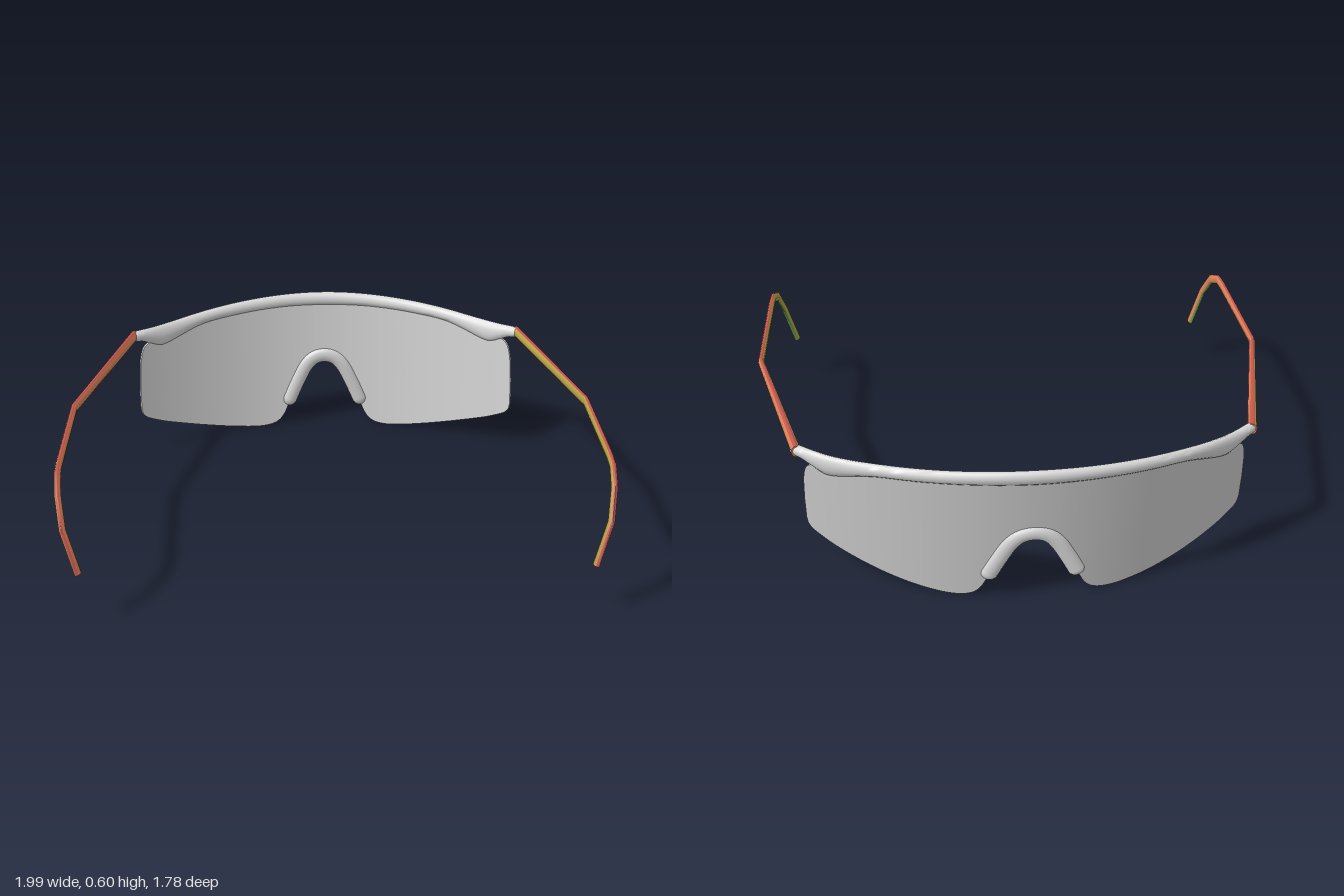
import * as THREE from 'three';
import { toCreasedNormals } from 'three/addons/utils/BufferGeometryUtils.js';

const V = (x, y, z) => new THREE.Vector3(x, y, z);
const mat = (name, color) => {
  const m = new THREE.MeshStandardMaterial({ color });
  m.name = name;
  return m;
};

// Wrapped visor surface: a parabola in plan that leans back towards the bottom
const visorZ = (x, y) => -0.865 + 0.47 * x * x + 0.14 * (0.52 - y);
// Point on the visor surface, pushed d along its horizontal normal
function onVisor(x, y, d) {
  const s = 0.94 * x, l = Math.hypot(s, 1);
  return V(x - (d * s) / l, y, visorZ(x, y) + d / l);
}

// Closed loft through equal rings (counter-clockwise about the path); one group per side
function loft(rings, crease, slot = () => 0) {
  const n = rings[0].length, pos = [], index = [], geo = new THREE.BufferGeometry();
  rings.flat().forEach(p => pos.push(p.x, p.y, p.z));
  for (let k = 0; k < n; k++) {
    const start = index.length, k2 = (k + 1) % n;
    for (let i = 0; i < rings.length - 1; i++) {
      const a = i * n + k, b = i * n + k2;
      index.push(a, b, a + n, b, b + n, a + n);
    }
    geo.addGroup(start, index.length - start, slot(k));
  }
  const start = index.length, e = (rings.length - 1) * n;
  for (let k = 1; k < n - 1; k++) index.push(0, k + 1, k, e, e + k, e + k + 1);
  geo.addGroup(start, index.length - start, 0);
  geo.setAttribute('position', new THREE.Float32BufferAttribute(pos, 3));
  geo.setIndex(index);
  return toCreasedNormals(geo, crease);
}

// Half profile of [x, low y, high y], mirrored and sampled smoothly
function columns(half, count) {
  const left = half.slice(1).reverse().map(([x, lo, hi]) => V(-x, lo, hi));
  const pts = [...left, ...half.map(c => V(...c))];
  return new THREE.CatmullRomCurve3(pts).getPoints(count);
}

export function createModel() {
  const model = new THREE.Group();
  model.name = 'wraparoundGlasses';
  const lensGrey = mat('lens grey', 0xd0d0d0);
  const frameGrey = mat('frame grey', 0xd8d8d8);
  const armColours = [
    mat('arm orange', 0xdb8458), mat('arm red', 0xc8564e),
    mat('arm olive', 0xb5a045), mat('arm green', 0x5f9a4a),
  ];
  const add = (name, geo, material, parent = model) => {
    const mesh = new THREE.Mesh(geo, material);
    mesh.name = name;
    parent.add(mesh);
  };

  // One-piece lens with a nose notch
  const lens = columns([
    [0, 0.31, 0.56], [0.04, 0.3, 0.56], [0.08, 0.26, 0.557], [0.13, 0.17, 0.553],
    [0.165, 0.09, 0.55], [0.19, 0.04, 0.548], [0.22, 0.013, 0.545], [0.28, 0.001, 0.54],
    [0.4, 0.016, 0.535], [0.55, 0.055, 0.52], [0.7, 0.11, 0.49], [0.75, 0.135, 0.483],
    [0.78, 0.153, 0.465], [0.795, 0.17, 0.42], [0.803, 0.2, 0.3],
  ], 140);
  const t = 0.005;
  add('lens', loft(lens.map(({ x, y: lo, z: hi }) => [
    onVisor(x, hi, -t), onVisor(x, hi, t), onVisor(x, lo, t), onVisor(x, lo, -t),
  ]), 0.6), lensGrey);

  // Brow frame, swelling downwards near the hinges
  const brow = columns([
    [0, 0.54, 0.597], [0.2, 0.537, 0.591], [0.4, 0.524, 0.576], [0.54, 0.508, 0.561],
    [0.62, 0.482, 0.551], [0.68, 0.46, 0.545], [0.715, 0.455, 0.542], [0.76, 0.476, 0.54],
    [0.79, 0.492, 0.54], [0.815, 0.498, 0.539], [0.826, 0.508, 0.532],
  ], 100);
  add('browFrame', loft(brow.map(({ x, y: lo, z: hi }) =>
    Array.from({ length: 14 }, (_, k) => {
      const a = (k / 14) * Math.PI * 2;
      return onVisor(x, (lo + hi) / 2 + ((hi - lo) / 2) * Math.cos(a), 0.021 * Math.sin(a));
    })), 1.2), frameGrey);

  // Nose pad: flattened tube with round ends, laid on the lens
  const nosePad = new THREE.Group();
  nosePad.name = 'nosePad';
  model.add(nosePad);
  const lay = geo => {
    geo.scale(1, 1, 0.65);
    const p = geo.attributes.position;
    for (let i = 0; i < p.count; i++) p.setZ(i, p.getZ(i) + visorZ(p.getX(i), p.getY(i)));
    return geo;
  };
  const padHalf = [[0.157, 0.115], [0.125, 0.185], [0.08, 0.268], [0.045, 0.3]];
  const padPath = new THREE.CatmullRomCurve3([
    ...padHalf.map(([x, y]) => V(-x, y, 0)), V(0, 0.311, 0),
    ...padHalf.reverse().map(([x, y]) => V(x, y, 0)),
  ]);
  add('nosePadBridge', lay(new THREE.TubeGeometry(padPath, 48, 0.031, 14)), frameGrey, nosePad);
  for (const side of [-1, 1]) {
    const tip = new THREE.SphereGeometry(0.031, 14, 10).translate(side * 0.157, 0.115, 0);
    add('nosePadTip', lay(tip), frameGrey, nosePad);
  }

  // Arms: narrow oval bars with a hooked ear end; each side of the bar has its own colour
  const armPath = [
    [0.817, 0.52, -0.565], [0.985, 0.493, 0.13], [0.972, 0.496, 0.62], [0.968, 0.493, 0.69],
    [0.958, 0.455, 0.775], [0.94, 0.36, 0.846], [0.897, 0.198, 0.864],
  ];
  const sides = 12;
  const slot = k => {
    const a = ((k + 0.5) / sides) * Math.PI * 2;
    if (Math.abs(Math.cos(a)) > 0.5) return Math.cos(a) > 0 ? 0 : 2;
    return Math.sin(a) > 0 ? 1 : 3;
  };
  for (const side of [-1, 1]) {
    const pts = armPath.map(([x, y, z]) => V(side * x, y, z));
    const rings = pts.map((p, i) => {
      const dir = V(0, 0, 0);
      if (i > 0) dir.add(p.clone().sub(pts[i - 1]).normalize());
      if (i < pts.length - 1) dir.add(pts[i + 1].clone().sub(p).normalize());
      dir.normalize();
      const across = V(1, 0, 0).addScaledVector(dir, -dir.x).normalize();
      const up = dir.clone().cross(across);
      const wide = i === 0 ? 0.018 : 0.012, high = i === 0 ? 0.022 : 0.02;
      return Array.from({ length: sides }, (_, k) => {
        const a = (k / sides) * Math.PI * 2;
        return p.clone().addScaledVector(across, wide * Math.cos(a))
          .addScaledVector(up, high * Math.sin(a));
      });
    });
    add(side > 0 ? 'leftArm' : 'rightArm', loft(rings, 0.9, slot), armColours);
  }
  return model;
}
